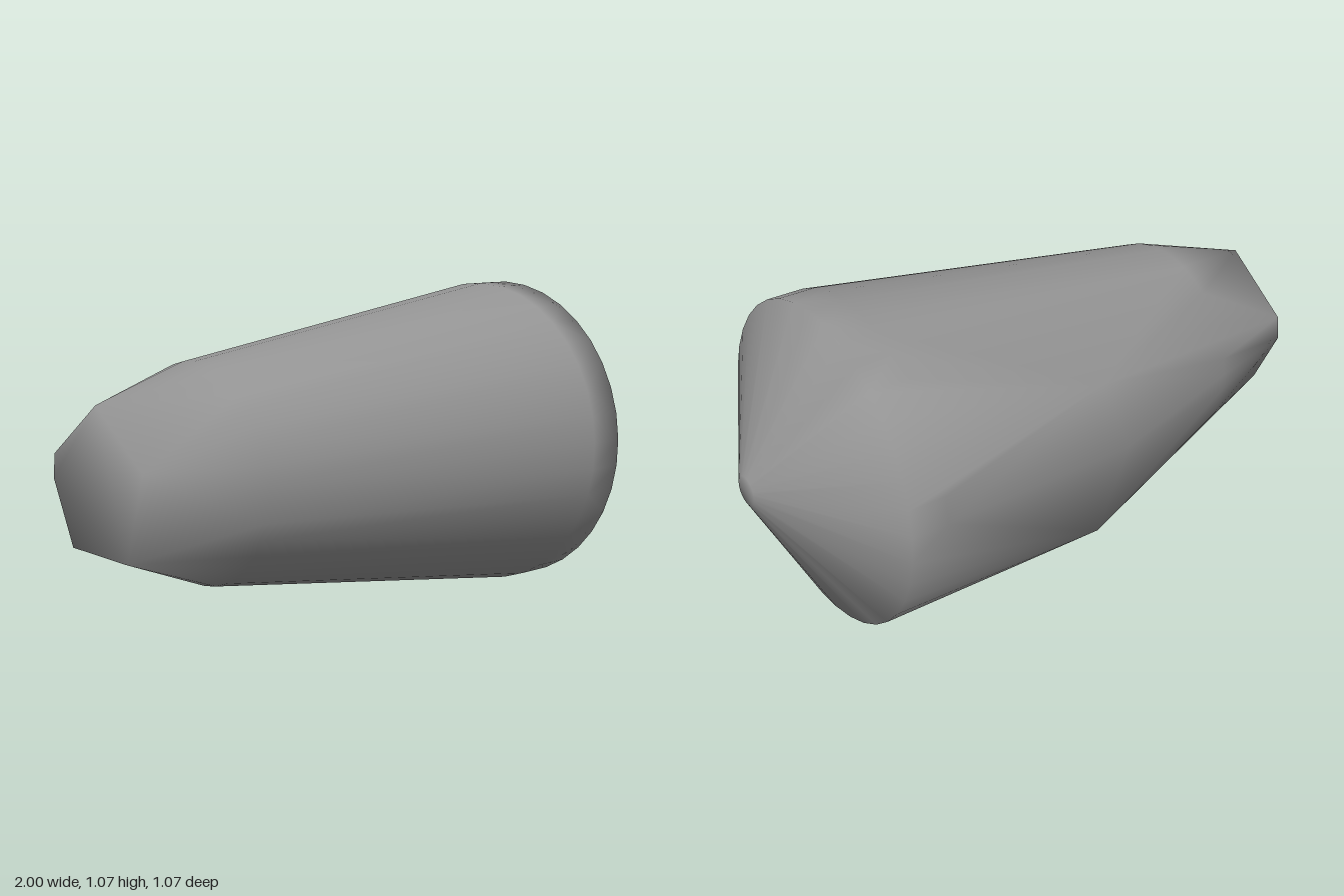
import * as THREE from 'three';
import { ConvexGeometry } from 'three/addons/geometries/ConvexGeometry.js';
import { mergeVertices } from 'three/addons/utils/BufferGeometryUtils.js';

const AXIS_Y = 0.534;

// Ring of points around the long axis, first point at the top
function ring(x, radius, sides) {
  const points = [];
  for (let i = 0; i < sides; i++) {
    const a = (i / sides) * Math.PI * 2;
    points.push(new THREE.Vector3(x, AXIS_Y + radius * Math.cos(a), radius * Math.sin(a)));
  }
  return points;
}

export function createModel() {
  const group = new THREE.Group();
  group.name = 'taperedHull';

  // Rings from the narrow tail to the blunt nose
  const points = [
    ...ring(-1, 0.25, 5),
    ...ring(-0.64, 0.352, 37),
    ...ring(0.62, 0.535, 37),
    ...ring(0.745, 0.535, 37),
    ...ring(1, 0.048, 37),
  ];

  // Flat panel on the back: tail corner, middle and two outer corners
  points.push(
    new THREE.Vector3(-1, AXIS_Y, -0.248),
    new THREE.Vector3(-0.1, AXIS_Y, -0.495),
    new THREE.Vector3(0.02, 0.8, -0.495),
    new THREE.Vector3(0.02, 0.26, -0.495),
  );

  // Shared vertices give one smooth skin
  let geometry = new ConvexGeometry(points);
  geometry.deleteAttribute('normal');
  geometry = mergeVertices(geometry, 1e-4);
  geometry.computeVertexNormals();

  const body = new THREE.Mesh(geometry, new THREE.MeshStandardMaterial({ color: 0x949494 }));
  body.name = 'body';
  group.add(body);
  return group;
}
